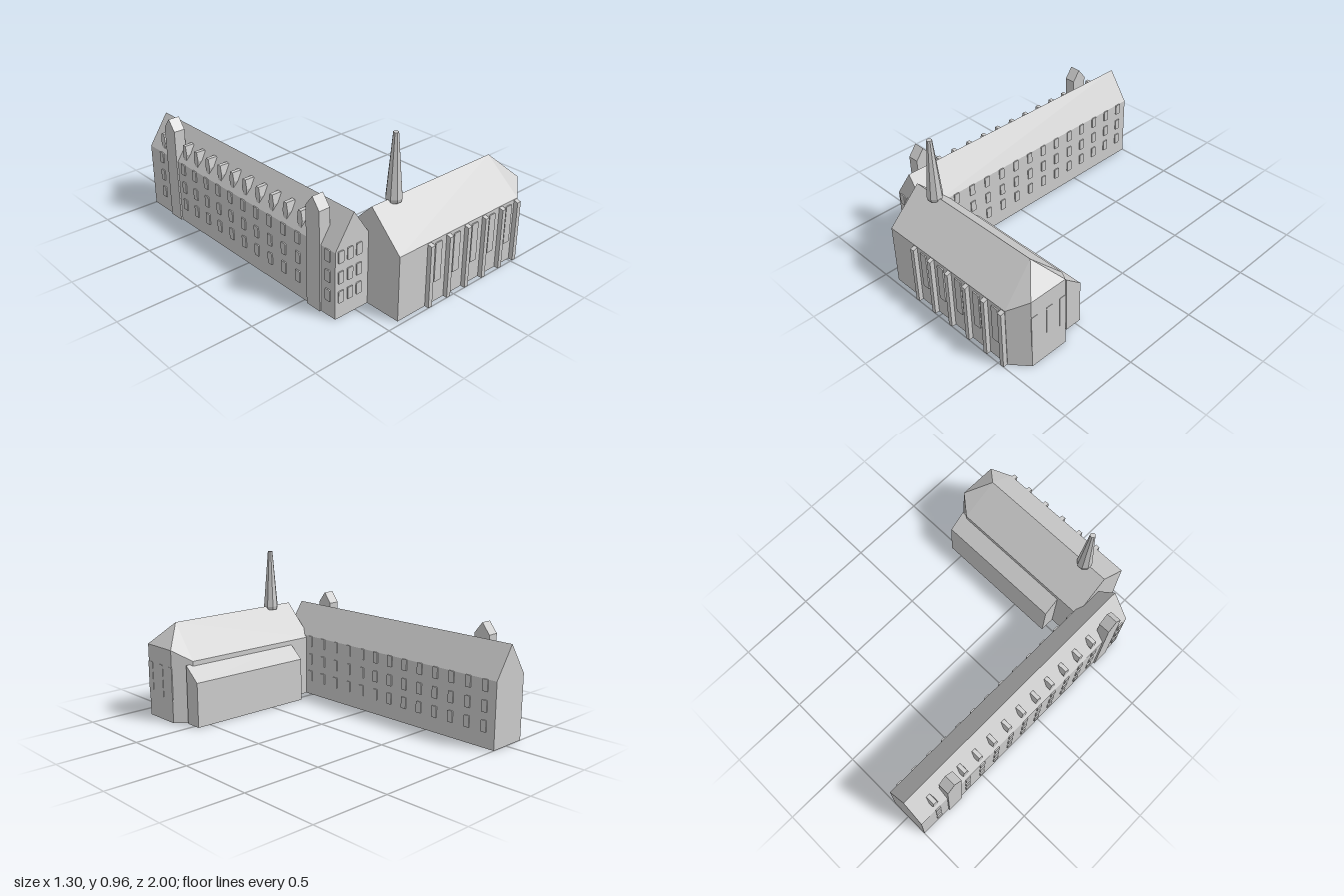
import * as THREE from 'three';

const stone = new THREE.MeshStandardMaterial({ color: 0xcccccc });
stone.name = 'pale stone';

export function createModel() {
  const model = new THREE.Group();
  model.name = 'churchAndWing';

  const add = (name, geometry, x = 0, y = 0, z = 0, turn = 0) => {
    const mesh = new THREE.Mesh(geometry, stone);
    mesh.name = name;
    mesh.position.set(x, y, z);
    mesh.rotation.y = turn;
    model.add(mesh);
    return mesh;
  };

  // Outline extruded along z
  const prism = (points, depth) => new THREE.ExtrudeGeometry(
    new THREE.Shape(points.map(([x, y]) => new THREE.Vector2(x, y))),
    { depth, bevelEnabled: false });

  // Outline given as (z, y) pairs, extruded along +x
  const prismX = (points, depth) =>
    prism(points.map(([z, y]) => [-z, y]).reverse(), depth).rotateY(Math.PI / 2);

  // Flat polygons, each fanned from its first corner
  const faceted = (faces) => {
    const positions = [];
    for (const f of faces)
      for (let i = 1; i < f.length - 1; i++) positions.push(...f[0], ...f[i], ...f[i + 1]);
    const g = new THREE.BufferGeometry();
    g.setAttribute('position', new THREE.Float32BufferAttribute(positions, 3));
    g.computeVertexNormals();
    return g;
  };

  // Thin window plate with softened corners, centred, facing +z
  const windowPlate = (w, h, r) => {
    const s = new THREE.Shape();
    const a = w / 2, b = h / 2;
    s.moveTo(-a + r, -b);
    s.lineTo(a - r, -b); s.quadraticCurveTo(a, -b, a, -b + r);
    s.lineTo(a, b - r); s.quadraticCurveTo(a, b, a - r, b);
    s.lineTo(-a + r, b); s.quadraticCurveTo(-a, b, -a, b - r);
    s.lineTo(-a, -b + r); s.quadraticCurveTo(-a, -b, -a + r, -b);
    return new THREE.ExtrudeGeometry(s, { depth: 0.008, bevelEnabled: false, curveSegments: 3 });
  };

  // Long wing with gabled roof
  const wing = prism([[-0.642, 0], [-0.385, 0], [-0.385, 0.405], [-0.5135, 0.597], [-0.642, 0.405]], 1.745);
  add('wing', wing, 0, 0, -1);

  // Wing windows in three storeys
  const smallWindow = windowPlate(0.037, 0.071, 0.005);
  for (const y of [0.13, 0.248, 0.37]) {
    for (const x of [-0.605, -0.541, -0.478]) add('gableWindow', smallWindow, x, y, 0.744);
    for (let i = 0; i < 13; i++)
      add('courtWindow', smallWindow, -0.386, y, 0.515 - 0.12 * i, Math.PI / 2);
    for (let i = 0; i < 14; i++)
      if (i !== 1 && i !== 12) add('outerWindow', smallWindow, -0.641, y, -0.87 + 0.12 * i, -Math.PI / 2);
  }

  // Gabled stair bays rising through the outer wall
  const bay = prismX([[-0.053, 0], [-0.053, 0.602], [0, 0.67], [0.053, 0.602], [0.053, 0]], 0.072);
  for (const z of [0.582, -0.742]) add('stairBay', bay, -0.652, 0, z);

  // Roof dormers, widest at mid height
  const dormer = prismX([[-0.01, 0.42], [-0.022, 0.47], [-0.012, 0.525],
    [0.012, 0.525], [0.022, 0.47], [0.01, 0.42]], 0.06);
  for (let i = 0; i < 12; i++)
    if (i !== 1) add('dormer', dormer, -0.627, 0, -0.87 + 0.12 * i);

  // Church: walls round the polygonal end, then hipped roof
  const plan = [[-0.41, 0.39, 0.973], [0.545, 0.39, 0.973], [0.648, 0.46, 0.887],
    [0.648, 0.46, 0.64], [0.545, 0.39, 0.558], [-0.41, 0.39, 0.558]];
  const floor = plan.map(([x, , z]) => [x, 0, z]);
  const west = [-0.41, 0.597, 0.765], east = [0.52, 0.597, 0.765];
  const walls = plan.map((p, i) => {
    const j = (i + 1) % plan.length;
    return [floor[i], floor[j], plan[j], p];
  });
  add('churchWalls', faceted([...walls, [...floor].reverse(), [plan[5], plan[0], west]]));
  add('churchRoof', faceted([
    [east, west, plan[0], plan[1], plan[2]],
    [east, plan[2], plan[3]],
    [east, plan[3], plan[4], plan[5], west],
  ]));

  // Lean-to aisle behind the church
  add('aisle', prismX([[0.462, 0], [0.462, 0.28], [0.57, 0.37], [0.57, 0]], 0.838), -0.25);

  // Buttresses with sloping tops, tall windows between
  const buttress = prismX([[0.965, 0], [0.965, 0.388], [1, 0.376], [1, 0]], 0.028);
  const tallWindow = windowPlate(0.05, 0.24, 0.008);
  for (let i = 0; i < 6; i++) {
    add('buttress', buttress, -0.203 + 0.1464 * i - (i === 5 ? 0.014 : 0));
    if (i < 5) add('churchWindow', tallWindow, -0.12 + 0.1467 * i, 0.249, 0.972);
  }

  // Windows in the east end
  const eastWindow = windowPlate(0.045, 0.206, 0.006);
  for (const z of [0.866, 0.757, 0.66]) add('eastWindow', eastWindow, 0.6425, 0.249, z, Math.PI / 2);

  // Eight-sided spire with a flared foot
  const profile = [[0, 0.575], [0.042, 0.575], [0.048, 0.597], [0.016, 0.965], [0, 0.965]]
    .map(([r, y]) => new THREE.Vector2(r, y));
  const spire = new THREE.LatheGeometry(profile, 8, Math.PI / 8).toNonIndexed();
  spire.computeVertexNormals();
  add('spire', spire, -0.25, 0, 0.765);

  return model;
}
